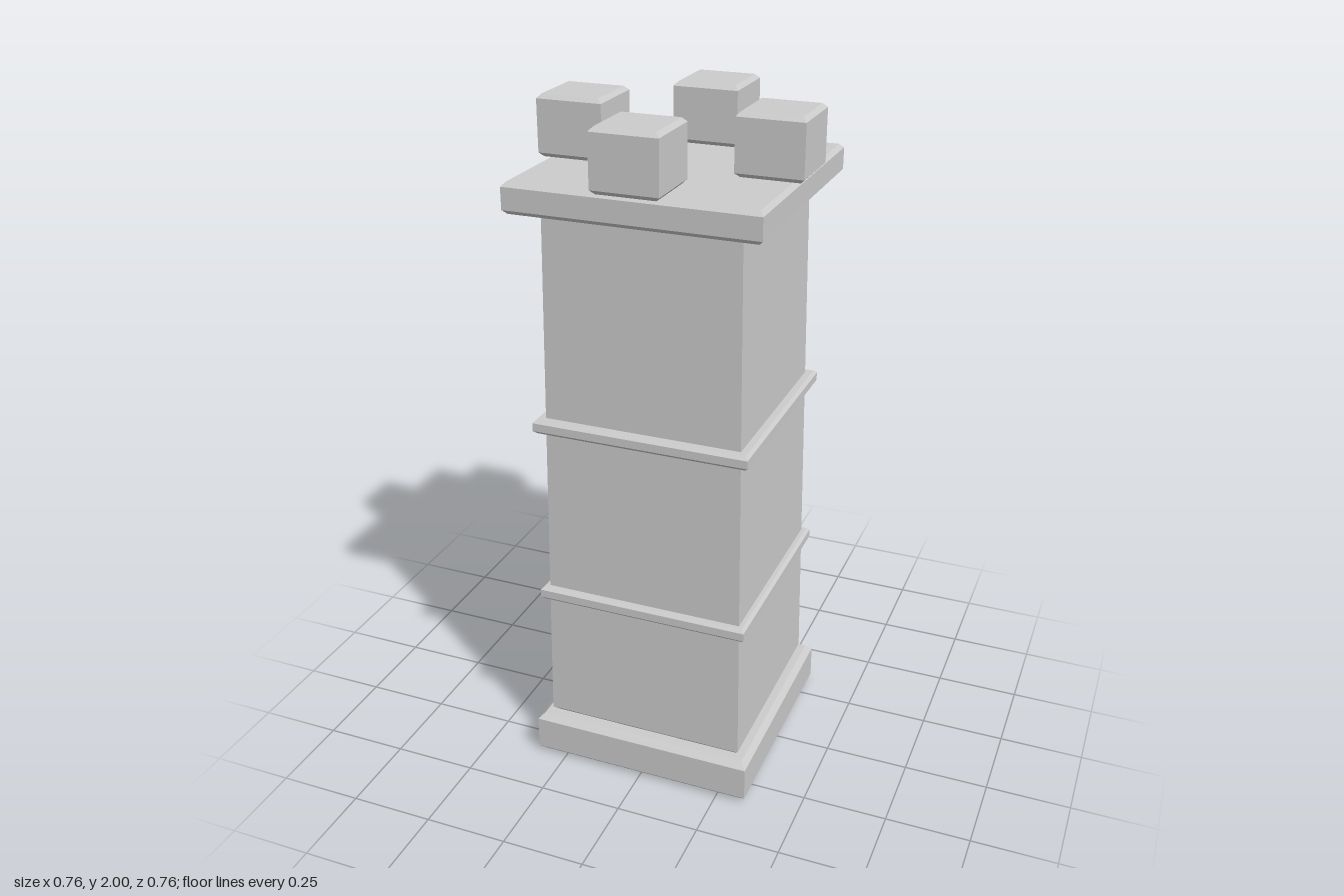
import * as THREE from 'three';

const material = new THREE.MeshStandardMaterial({ color: 0xcccccc, flatShading: true });

// Square block with bevelled top and bottom rims; half-widths may taper upward
function block(name, y0, y1, halfBottom, halfTop, bevel) {
  const profile = [
    [0, y0],
    [halfBottom - bevel, y0],
    [halfBottom, y0 + bevel],
    [halfTop, y1 - bevel],
    [halfTop - bevel, y1],
    [0, y1],
  ].map(([half, y]) => new THREE.Vector2(half * Math.SQRT2, y));
  const geometry = new THREE.LatheGeometry(profile, 4, Math.PI / 4).toNonIndexed();
  geometry.computeVertexNormals();
  const mesh = new THREE.Mesh(geometry, material);
  mesh.name = name;
  return mesh;
}

export function createModel() {
  const tower = new THREE.Group();
  tower.name = 'tower';

  // Plinth, tapering shaft and overhanging platform
  tower.add(block('base', 0, 0.138, 0.34, 0.34, 0.018));
  tower.add(block('shaft', 0.138, 1.737, 0.304, 0.282, 0.014));
  tower.add(block('platform', 1.743, 1.829, 0.357, 0.357, 0.012));

  // Thin bands around the shaft
  [0.573, 1.121].forEach((y, i) => {
    tower.add(block(i ? 'upperBand' : 'lowerBand', y - 0.021, y + 0.021, 0.319, 0.319, 0.009));
  });

  // One merlon in the middle of each platform edge
  [['front', 0, 1], ['back', 0, -1], ['left', 1, 0], ['right', -1, 0]].forEach(([side, x, z]) => {
    const merlon = block(side + 'Merlon', 1.829, 2, 0.095, 0.095, 0.012);
    merlon.position.set(x * 0.283, 0, z * 0.283);
    tower.add(merlon);
  });

  return tower;
}
